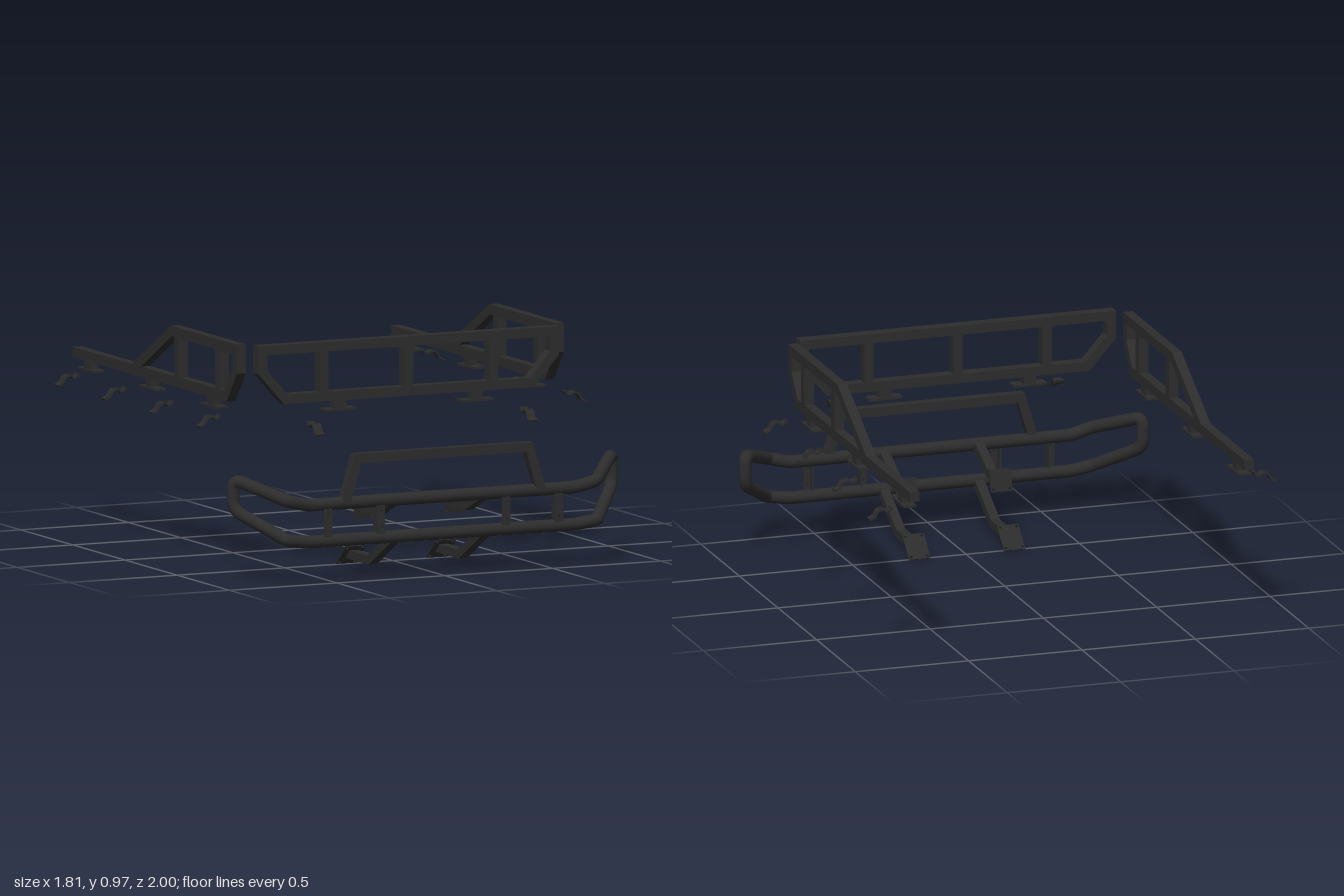
import * as THREE from 'three';
import { mergeGeometries } from 'three/addons/utils/BufferGeometryUtils.js';

const black = new THREE.MeshStandardMaterial({ color: 0x2c2c2c });
black.name = 'satin black';

const V2 = (p) => new THREE.Vector2(p[0], p[1]);
const V3 = (p) => new THREE.Vector3(p[0], p[1], p[2]);

function add(parent, name, geometry, x = 0, y = 0, z = 0) {
  const mesh = new THREE.Mesh(geometry, black);
  mesh.name = name;
  mesh.position.set(x, y, z);
  parent.add(mesh);
  return mesh;
}

// Points in a fixed turning direction, so that every face looks outward
function wound(points, clockwise) {
  const p = points.map(V2);
  return THREE.ShapeUtils.isClockWise(p) === clockwise ? p : p.reverse();
}

// Flat outline with optional cut-outs, extruded symmetrically about its plane
function slab(outline, depth, holes = []) {
  const shape = new THREE.Shape(wound(outline, false));
  holes.forEach((h) => shape.holes.push(h instanceof THREE.Path ? h : new THREE.Path(wound(h, true))));
  return new THREE.ExtrudeGeometry(shape, { depth, bevelEnabled: false, curveSegments: 5 })
    .translate(0, 0, -depth / 2);
}

// Outline of a bent bar of constant width with mitred corners
function barOutline(pts, width) {
  const p = pts.map(V2), left = [], right = [];
  p.forEach((c, i) => {
    const a = c.clone().sub(p[Math.max(i - 1, 0)]).normalize();
    const b = p[Math.min(i + 1, p.length - 1)].clone().sub(c).normalize();
    const t = a.clone().add(b).normalize();
    const k = width / 2 / Math.max(0.4, t.dot(i === 0 ? b : a));
    left.push([c.x - t.y * k, c.y + t.x * k]);
    right.unshift([c.x + t.y * k, c.y - t.x * k]);
  });
  return left.concat(right);
}

function boltHole(x, y, r) {
  return new THREE.Path().absarc(x, y, r, 0, Math.PI * 2, true);
}

function plate(w, h, t, holes) {
  const x = w / 2, y = h / 2;
  return slab([[-x, -y], [x, -y], [x, y], [-x, y]], t, holes);
}

// Closed path of straight runs with rounded corners
function roundedLoop(pts, radii) {
  const path = new THREE.CurvePath(), n = pts.length;
  const corners = pts.map((c, i) => {
    const toward = (q) => c.clone().add(q.clone().sub(c).setLength(radii[i]));
    return [toward(pts[(i + n - 1) % n]), c, toward(pts[(i + 1) % n])];
  });
  corners.forEach((c, i) => {
    path.add(new THREE.QuadraticBezierCurve3(...c));
    path.add(new THREE.LineCurve3(c[2], corners[(i + 1) % n][0]));
  });
  return path;
}

// Mounting foot: flat pad with a short stem, long side along x
function foot(parent, x, z, width, turned) {
  const g = new THREE.Group();
  g.name = 'mountingFoot';
  add(g, 'footPad', new THREE.BoxGeometry(0.148, 0.01, width), 0, 0.676, 0);
  add(g, 'footStem', new THREE.BoxGeometry(0.055, 0.042, 0.04), 0, 0.7, 0);
  g.position.set(x, 0, z);
  if (turned) g.rotation.y = Math.PI / 2;
  parent.add(g);
}

// Bent clamp strip reaching outward from its fixing edge, with a slot in its raised middle
const clampPath = [[0, 0.668], [0.004, 0.657], [0.022, 0.649], [0.034, 0.66], [0.042, 0.661],
  [0.055, 0.658], [0.062, 0.653], [0.074, 0.63], [0.082, 0.627], [0.097, 0.62]];
const clampStrip = (pts, width, z) => slab(barOutline(pts, 0.008), width).translate(0, 0, z);
const clampGeometry = mergeGeometries([
  clampStrip(clampPath, 0.011, 0.0135),
  clampStrip(clampPath, 0.011, -0.0135),
  clampStrip(clampPath.slice(0, 5), 0.016, 0),
  clampStrip(clampPath.slice(5), 0.016, 0),
]);

function clamp(parent, x, y, z, angle) {
  add(parent, 'clamp', clampGeometry, x, y, z).rotation.y = angle;
}

function frontRack() {
  const g = new THREE.Group();
  g.name = 'frontRack';
  const mirror = (pts) => pts.map(([x, y]) => [-x, y]);
  const endCell = [[0.413, 0.924], [0.657, 0.924], [0.657, 0.861], [0.562, 0.754], [0.413, 0.754]];
  const midCell = [[0.02, 0.924], [0.373, 0.924], [0.373, 0.754], [0.02, 0.754]];
  const half = [[0.697, 0.964], [0.697, 0.846], [0.58, 0.714]];
  add(g, 'frontRackFrame',
    slab([...half, ...mirror(half).reverse()], 0.053,
      [endCell, midCell, mirror(endCell), mirror(midCell)]), 0, 0, 0.629);
  for (const s of [-1, 1]) {
    foot(g, s * 0.318, 0.631, 0.054, false);
    clamp(g, s * 0.494, -0.021, 0.732, -Math.PI / 2);
  }
  return g;
}

function sideRack(s) {
  const g = new THREE.Group();
  g.name = s > 0 ? 'leftSideRack' : 'rightSideRack';
  // Outline runs in z and y, with a sloping brace down to the long lower rail
  const outline = [[0.574, 0.965], [-0.06, 0.965], [-0.437, 0.756], [-1, 0.756],
    [-1, 0.713], [0.475, 0.713], [0.574, 0.842]];
  const cells = [
    [[0.41, 0.922], [0.531, 0.922], [0.531, 0.855], [0.455, 0.756], [0.41, 0.756]],
    [[0.021, 0.922], [0.367, 0.922], [0.367, 0.756], [0.021, 0.756]],
    [[-0.021, 0.922], [-0.05, 0.922], [-0.345, 0.756], [-0.021, 0.756]],
  ];
  add(g, 'sideRackFrame', slab(outline, 0.042, cells).rotateY(-Math.PI / 2), s * 0.738);
  for (const z of [-0.867, -0.277, 0.315]) foot(g, s * 0.738, z, 0.055, true);
  for (const z of [-0.873, -0.418, 0.034, 0.488]) clamp(g, s * 0.8, -0.003, z, s > 0 ? 0 : Math.PI);
  return g;
}

function bumper() {
  const g = new THREE.Group();
  g.name = 'bumper';

  // Round tube loop sweeping back and up at both ends
  const half = [[0.62, 0.33, 0.966], [0.715, 0.353, 0.973], [0.878, 0.434, 0.785],
    [0.878, 0.303, 0.785], [0.718, 0.187, 0.973], [0.62, 0.174, 0.966]];
  const radii = [0.02, 0.02, 0.045, 0.045, 0.02, 0.02];
  const loop = [...half, ...half.map(([x, y, z]) => [-x, y, z]).reverse()].map(V3);
  add(g, 'bumperTube', new THREE.TubeGeometry(
    roundedLoop(loop, [...radii, ...radii.slice().reverse()]), 400, 0.027, 16, true));

  // Square-section hoop above the upper tube
  add(g, 'topHoop', slab(barOutline(
    [[-0.452, 0.335], [-0.398, 0.516], [0.398, 0.516], [0.452, 0.335]], 0.04), 0.042), 0, 0, 0.971);

  // Drilled angle brackets between the two tubes
  for (const s of [-1, 1]) {
    for (const [x, flange] of [[0.535, -1], [0.291, 1]]) {
      const b = new THREE.Group();
      b.name = 'angleBracket';
      add(b, 'bracketFace', plate(0.037, 0.12, 0.008,
        [boltHole(0, 0.036, 0.007), boltHole(0, -0.036, 0.007)]), 0, 0, 0.016);
      add(b, 'bracketFlange', new THREE.BoxGeometry(0.008, 0.12, 0.038), flange * s * 0.0145, 0, 0);
      b.position.set(s * x, 0.252, 0.971);
      g.add(b);
    }
  }

  // Bent chassis arms, each cut to meet a tilted bolt plate
  const arms = [
    { name: 'upperArm', path: [[0.966, 0.335], [0.79, 0.255], [0.664, 0.255]],
      y: 0.256, z: 0.663, h: 0.096, tilt: 0.2 },
    { name: 'lowerArm', path: [[0.966, 0.174], [0.735, 0.045], [0.533, 0.045]],
      y: 0.043, z: 0.531, h: 0.124, tilt: 0.83 },
  ];
  for (const a of arms) {
    const outline = barOutline(a.path, 0.037), cut = 0.0185 * Math.tan(a.tilt);
    outline[2][0] -= cut;
    outline[3][0] += cut;
    const hx = 0.036, hy = a.h / 2 - 0.012, holes = [];
    for (const i of [-1, 1]) for (const j of [-1, 1]) holes.push(boltHole(i * hx, j * hy, 0.006));
    for (const s of [-1, 1]) {
      add(g, a.name, slab(outline, 0.04).rotateY(-Math.PI / 2), s * 0.209);
      add(g, a.name + 'Plate', plate(0.094, a.h, 0.006, holes), s * 0.209, a.y, a.z).rotation.x = a.tilt;
    }
  }
  return g;
}

export function createModel() {
  const model = new THREE.Group();
  model.name = 'bumperAndRackSet';
  model.add(frontRack(), sideRack(1), sideRack(-1), bumper());
  return model;
}
